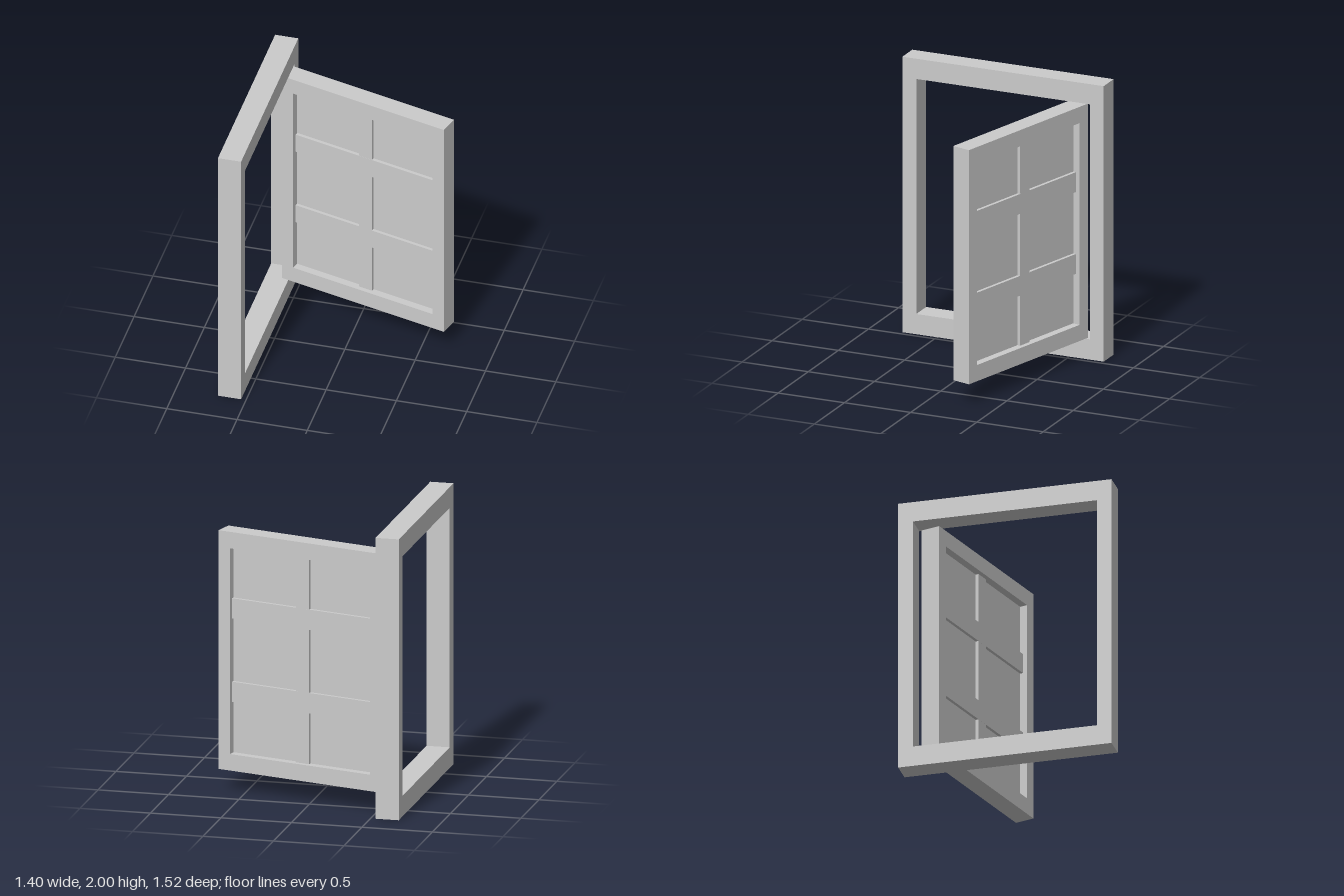
import * as THREE from 'three';

const material = new THREE.MeshStandardMaterial({ color: 0xcccccc, flatShading: true });

function add(parent, name, geometry, x = 0, y = 0, z = 0) {
  const mesh = new THREE.Mesh(geometry, material);
  mesh.name = name;
  mesh.position.set(x, y, z);
  parent.add(mesh);
  return mesh;
}

// Rectangular ring standing in the xy plane, centred on its own origin
function ring(width, height, holeWidth, holeHeight, depth) {
  const rect = (Type, w, h) => new Type([[-w, -h], [w, -h], [w, h], [-w, h]]
    .map(([x, y]) => new THREE.Vector2(x / 2, y / 2)));
  const shape = rect(THREE.Shape, width, height);
  shape.holes.push(rect(THREE.Path, holeWidth, holeHeight));
  return new THREE.ExtrudeGeometry(shape, { depth, bevelEnabled: false })
    .translate(0, 0, -depth / 2);
}

export function createModel() {
  const model = new THREE.Group();
  model.name = 'openWindow';

  // Fixed outer frame, standing in the yz plane
  const frame = add(model, 'outerFrame', ring(1.52, 2, 1.31, 1.706, 0.165), -0.6175, 1, 0);
  frame.rotation.y = Math.PI / 2;

  // Sash swung open on its hinge side
  const sash = new THREE.Group();
  sash.name = 'sash';
  sash.position.set(0.057, 1.002, -0.401);
  sash.rotation.y = -Math.PI / 12;
  model.add(sash);

  const openW = 1.107, openH = 1.465;
  add(sash, 'sashFrame', ring(1.285, 1.7, openW, openH, 0.14));
  add(sash, 'pane', new THREE.BoxGeometry(openW, openH, 0.03));

  // Glazing bars, proud of the pane on both sides
  add(sash, 'verticalBar', new THREE.BoxGeometry(0.103, openH, 0.074));
  for (const side of [-1, 1]) {
    add(sash, 'horizontalBar', new THREE.BoxGeometry(openW, 0.144, 0.075), 0, side * 0.297, 0);
  }
  return model;
}
